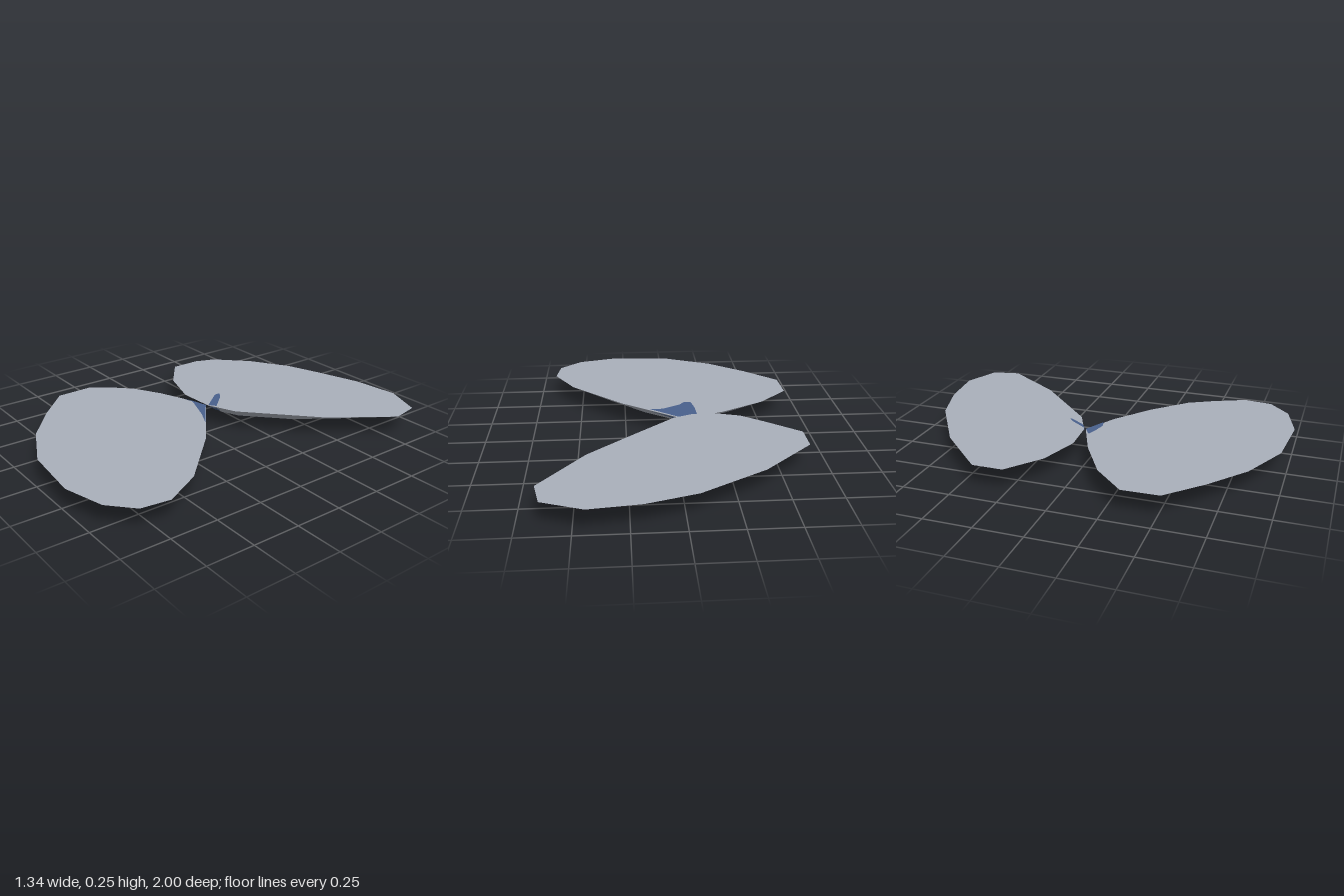
import * as THREE from 'three';

const MID = 0.124; // height of the wing rims
const pale = new THREE.MeshStandardMaterial({ color: 0xa9afba });
pale.name = 'paleGrey';
const blue = new THREE.MeshStandardMaterial({ color: 0x48608c, side: THREE.DoubleSide });
blue.name = 'slateBlue';

// Rings of each lens: [scale about the crown, height above the rim plane]
const RINGS = [[1, 0], [0.6, 0.08], [0, 0.124]];

const wings = {
  frontWing: {
    crown: [-0.07, 0.33],
    rim: [[-0.67, 0.33], [-0.51, 0.17], [-0.28, 0.04], [-0.06, -0.05], [0.27, 0.2], [0.55, 0.48], [0.66, 0.68],
      [0.64, 0.83], [0.52, 0.94], [0.3, 1], [-0.03, 0.97], [-0.29, 0.85], [-0.49, 0.69], [-0.665, 0.52]],
    patch: [[-0.06, -0.05], [0.12, 0.09], [0.05, 0.06], [-0.04, 0.045], [-0.063, 0.05], [-0.1, 0.06], [-0.12, 0.03], [-0.13, -0.01]],
  },
  backWing: {
    crown: [-0.12, -0.36],
    rim: [[-0.65, -0.42], [-0.39, -0.68], [-0.06, -0.89], [0.19, -0.97], [0.44, -1], [0.64, -0.92], [0.67, -0.77],
      [0.45, -0.46], [0.1, -0.13], [-0.06, -0.06], [-0.25, -0.05], [-0.47, -0.12], [-0.65, -0.26]],
    patch: [[-0.05, -0.06], [-0.01, -0.085], [-0.035, -0.13], [-0.055, -0.14], [-0.07, -0.12], [-0.055, -0.09]],
  },
};

// Mesh of loose triangles whose normals follow the wing side (up or down)
function triangles(points, sides, material, name) {
  const g = new THREE.BufferGeometry();
  g.setAttribute('position', new THREE.Float32BufferAttribute(points.flat(), 3));
  g.setAttribute('normal', new THREE.Float32BufferAttribute(sides.flatMap((s) => [0, s, 0]), 3));
  const mesh = new THREE.Mesh(g, material);
  mesh.name = name;
  return mesh;
}

// Lens: rim, inner ring and crown, mirrored above and below the rim plane
function lens({ crown, rim }, name) {
  const points = [], sides = [];
  const at = (p, [scale, h], s) => [crown[0] + (p[0] - crown[0]) * scale, MID + s * h, crown[1] + (p[1] - crown[1]) * scale];
  for (const s of [1, -1]) {
    rim.forEach((p, i) => {
      const q = rim[(i + 1) % rim.length];
      const [a, b] = s > 0 ? [q, p] : [p, q];
      const [r0, r1, r2] = RINGS;
      points.push(at(a, r0, s), at(b, r0, s), at(b, r1, s));
      points.push(at(a, r0, s), at(b, r1, s), at(a, r1, s));
      points.push(at(a, r1, s), at(b, r1, s), at(b, r2, s));
      for (let k = 0; k < 9; k++) sides.push(s);
    });
  }
  return triangles(points, sides, pale, name);
}

// Height of the lens surface above the rim plane at a point
function heightAt({ crown, rim }, [x, z]) {
  const px = x - crown[0], pz = z - crown[1];
  for (let i = 0; i < rim.length; i++) {
    const [ax, az] = rim[i].map((v, k) => v - crown[k]);
    const [bx, bz] = rim[(i + 1) % rim.length].map((v, k) => v - crown[k]);
    const d = ax * bz - az * bx;
    const u = (px * bz - pz * bx) / d, v = (ax * pz - az * px) / d;
    if (u >= -1e-6 && v >= -1e-6) {
      const t = Math.min(u + v, 1);
      return t > 0.6 ? (0.08 * (1 - t)) / 0.4 : 0.124 - (0.044 * t) / 0.6;
    }
  }
  return 0;
}

// Root marking: a thin skin fanned out from the wing root on both sides
function rootPatch(wing, name) {
  const points = [], sides = [];
  for (const s of [1, -1]) {
    const p = wing.patch.map((c) => [c[0], MID + s * (heightAt(wing, c) + 0.004), c[1]]);
    for (let i = 1; i < p.length - 1; i++) {
      // Outward winding for each side
      const cross = (p[i][2] - p[0][2]) * (p[i + 1][0] - p[0][0]) - (p[i][0] - p[0][0]) * (p[i + 1][2] - p[0][2]);
      points.push(...(cross * s > 0 ? [p[0], p[i], p[i + 1]] : [p[0], p[i + 1], p[i]]));
      sides.push(s, s, s);
    }
  }
  return triangles(points, sides, blue, name);
}

export function createModel() {
  const group = new THREE.Group();
  group.name = 'wingPair';
  for (const [name, wing] of Object.entries(wings)) {
    group.add(lens(wing, name), rootPatch(wing, name + 'RootMarking'));
  }
  return group;
}
